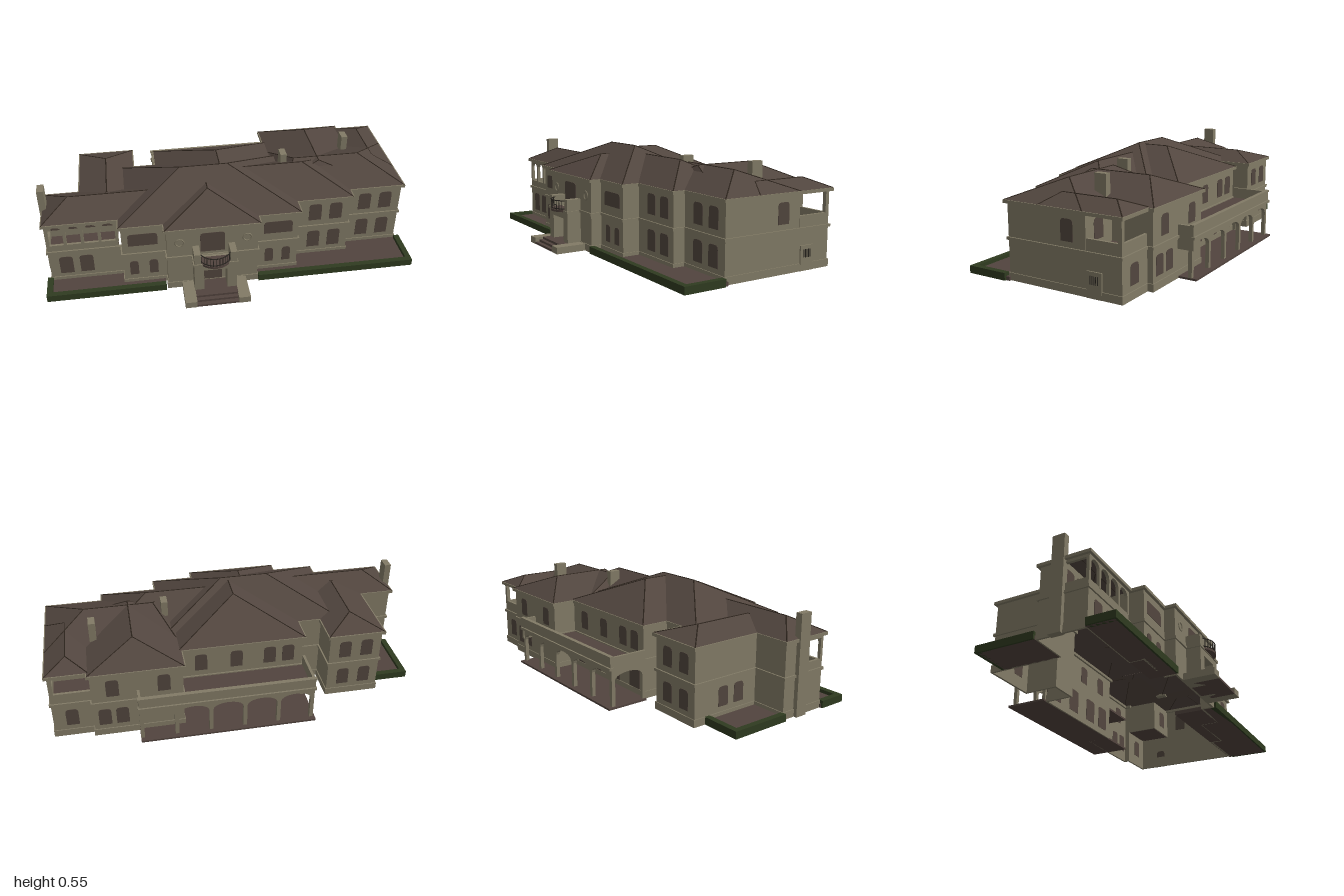
import * as THREE from 'three';

const mat = (name, color, side = THREE.FrontSide) => {
  const m = new THREE.MeshStandardMaterial({ color, side });
  m.name = name;
  return m;
};

export function createModel() {
  const model = new THREE.Group();
  const stone = mat('stone', 0x827b66);
  const tile = mat('roof tile', 0x52463f, THREE.DoubleSide);
  const ridgeMat = mat('ridge tile', 0x30271f);
  const glass = mat('window', 0x52463e);
  const paving = mat('paving', 0x52443e);
  const hedgeMat = mat('hedge', 0x2f3b20);
  const iron = mat('iron', 0x2b2722);

  const add = (name, geo, m) => {
    const mesh = new THREE.Mesh(geo, m);
    mesh.name = name;
    model.add(mesh);
    return mesh;
  };
  // box from its limits
  const box = (name, m, x0, x1, y0, y1, z0, z1) => {
    const g = new THREE.BoxGeometry(x1 - x0, y1 - y0, z1 - z0);
    g.translate((x0 + x1) / 2, (y0 + y1) / 2, (z0 + z1) / 2);
    return add(name, g, m);
  };

  // ground plan at the eaves, split where the upper storey has open loggias
  const frontPlan = [[-0.6, 0.36], [-0.37, 0.36], [-0.37, 0.42], [0.135, 0.42], [0.135, 0.36],
    [0.365, 0.36], [0.365, 0.265], [0.675, 0.265], [0.675, 0.2], [0.985, 0.2]];
  const backPlan = [[0.78, -0.49], [0.29, -0.49], [0.29, -0.36], [-0.37, -0.36], [-0.37, -0.21],
    [-0.49, -0.21], [-0.49, -0.39], [-0.8, -0.39], [-0.8, 0], [-0.99, 0]];
  const plan = (zLeft, zRight) => [[-0.99, zLeft], [-0.6, zLeft], ...frontPlan,
    [0.985, zRight], [0.78, zRight], ...backPlan];
  const full = plan(0.285, -0.46), recessed = plan(0.15, -0.27);

  // move every side of a right-angled plan outwards by d
  const offset = (poly, d) => poly.map((p, i) => {
    const a = poly[(i + poly.length - 1) % poly.length], b = poly[(i + 1) % poly.length];
    const n = (u, v) => [-Math.sign(v[1] - u[1]), Math.sign(v[0] - u[0])];
    const [n1, n2] = [n(a, p), n(p, b)];
    return new THREE.Vector2(p[0] + d * (n1[0] + n2[0]), -(p[1] + d * (n1[1] + n2[1])));
  });
  const ring = (name, poly, outer, inner, y0, y1) => {
    const shape = new THREE.Shape(offset(poly, outer));
    shape.holes.push(new THREE.Path(offset(poly, inner)));
    const g = new THREE.ExtrudeGeometry(shape, { depth: y1 - y0, bevelEnabled: false });
    g.rotateX(-Math.PI / 2).translate(0, y0, 0);
    add(name, g, stone);
  };
  ring('lowerWalls', full, -0.012, -0.018, 0, 0.205);
  ring('upperWalls', recessed, -0.012, -0.018, 0.2, 0.385);
  ring('plinth', full, -0.007, -0.015, 0, 0.038);
  ring('storeyBand', full, -0.004, -0.018, 0.199, 0.213);
  ring('cornice', full, 0.003, -0.03, 0.376, 0.392);

  // hip roofs: eave rectangle, ridge ends and ridge height
  const EAVE = 0.391;
  const hip = (x0, x1, z0, z1, ax, az, bx, bz, h) => {
    const c = [[x0, EAVE, z1], [x1, EAVE, z1], [x1, EAVE, z0], [x0, EAVE, z0]];
    const a = [ax, h, az], b = [bx, h, bz];
    const quad = (p, q, r, s) => [p, q, r, p, r, s];
    // a is the left or back ridge end, b the right or front one
    const tris = az === bz
      ? [...quad(c[0], c[1], b, a), c[1], c[2], b, ...quad(c[2], c[3], a, b), c[3], c[0], a]
      : [c[0], c[1], b, ...quad(c[1], c[2], a, b), c[2], c[3], a, ...quad(c[3], c[0], b, a)];
    const g = new THREE.BufferGeometry();
    g.setAttribute('position', new THREE.Float32BufferAttribute(tris.flat(), 3));
    g.computeVertexNormals();
    add('hipRoof', g, tile);
    // thin ridge and hip tiles
    const ends = az === bz ? [a, b, b, a] : [b, b, a, a];
    [[a, b], ...c.map((p, i) => [p, ends[i]])].forEach(([p, q]) => {
      const path = new THREE.LineCurve3(new THREE.Vector3(...p), new THREE.Vector3(...q));
      add('ridgeTiles', new THREE.TubeGeometry(path, 1, 0.003, 4), ridgeMat);
    });
  };
  hip(-0.99, -0.3, 0, 0.285, -0.85, 0.143, -0.35, 0.143, 0.465);
  hip(-0.8, -0.49, -0.39, 0.2, -0.645, -0.24, -0.645, 0.09, 0.442);
  hip(-0.6, 0.365, -0.21, 0.36, -0.25, 0.07, 0.01, 0.07, 0.545);
  hip(-0.37, 0.135, 0.1, 0.42, -0.118, 0.12, -0.118, 0.215, 0.495);
  hip(-0.37, 0.31, -0.36, 0.1, -0.03, -0.09, -0.03, 0.06, 0.535);
  hip(0.29, 0.78, -0.49, 0.1, 0.535, -0.32, 0.535, 0.02, 0.485);
  hip(-0.1, 0.675, -0.15, 0.265, 0.1, 0.055, 0.43, 0.055, 0.505);
  hip(0.3, 0.985, -0.25, 0.2, 0.4, -0.02, 0.77, -0.02, 0.485);
  hip(0.765, 0.985, -0.46, 0, 0.875, -0.36, 0.875, -0.06, 0.438);

  // chimneys
  box('chimney', stone, -1, -0.965, 0, 0.515, 0.083, 0.15);
  box('chimney', stone, 0.325, 0.36, 0.4, 0.515, -0.08, -0.015);
  box('chimney', stone, 0.715, 0.75, 0.4, 0.515, -0.215, -0.15);

  // windows: round-cornered plates on a wall facing front, back, right or left
  const turn = { front: 0, back: Math.PI, right: Math.PI / 2, left: -Math.PI / 2 };
  const windows = (face, plane, y, w, h, list, round = 0.02) => list.forEach((u) => {
    const s = new THREE.Shape(), a = w / 2, b = h / 2, r = round;
    s.moveTo(-a, -b).lineTo(a, -b).lineTo(a, b - r).quadraticCurveTo(a, b, a - r, b);
    s.lineTo(-a + r, b).quadraticCurveTo(-a, b, -a, b - r);
    const g = new THREE.ExtrudeGeometry(s, { depth: 0.0095, bevelEnabled: false, curveSegments: 4 });
    g.translate(0, 0, -0.0075);
    const m = add(round ? 'window' : 'door', g, glass);
    m.rotation.y = turn[face];
    const side = face === 'left' || face === 'right';
    m.position.set(side ? plane : u, y, side ? u : plane);
  });
  windows('front', 0.273, 0.115, 0.072, 0.11, [-0.89, -0.782]);
  windows('front', 0.138, 0.3, 0.075, 0.1, [-0.925, -0.83, -0.74, -0.65]);
  windows('front', 0.348, 0.298, 0.155, 0.075, [-0.478, 0.243]);
  windows('front', 0.348, 0.113, 0.046, 0.09, [-0.532, -0.428, 0.198, 0.292]);
  windows('front', 0.253, 0.3, 0.07, 0.105, [0.47, 0.585]);
  windows('front', 0.253, 0.117, 0.07, 0.108, [0.47, 0.585]);
  windows('front', 0.188, 0.295, 0.07, 0.105, [0.77, 0.888]);
  windows('front', 0.188, 0.117, 0.07, 0.108, [0.77, 0.888]);
  windows('front', 0.408, 0.29, 0.13, 0.12, [-0.118]);
  windows('front', 0.408, 0.097, 0.1, 0.125, [-0.12], 0);
  windows('back', -0.478, 0.295, 0.065, 0.1, [0.4, 0.66]);
  windows('back', -0.478, 0.115, 0.065, 0.1, [0.62, 0.71]);
  windows('back', -0.448, 0.115, 0.065, 0.1, [0.875]);
  windows('back', -0.258, 0.295, 0.07, 0.1, [0.875]);
  windows('back', -0.348, 0.295, 0.065, 0.1, [-0.28, -0.18, 0.0, 0.19]);
  windows('back', -0.348, 0.1, 0.09, 0.13, [-0.28, -0.1, 0.08, 0.22]);
  windows('back', -0.378, 0.295, 0.065, 0.1, [-0.71, -0.59]);
  windows('back', -0.378, 0.115, 0.065, 0.1, [-0.71, -0.59]);
  windows('left', -0.788, 0.115, 0.06, 0.1, [-0.2, -0.1]);
  windows('right', 0.973, 0.293, 0.068, 0.105, [-0.155]);
  windows('right', 0.973, 0.086, 0.055, 0.04, [-0.305]);

  // side door surround with iron grille
  box('sideDoor', stone, 0.97, 0.98, 0, 0.125, -0.345, -0.265);
  for (let i = 0; i < 5; i++) {
    const z = -0.325 + i * 0.01;
    box('grilleBar', iron, 0.979, 0.983, 0.066, 0.106, z - 0.0015, z + 0.0015);
  }

  // row of arches between posts, running along x or z, open at the bottom
  const arcade = (name, axis, u0, u1, y0, y1, at, n, post, spring, crown, depth = 0.016) => {
    const s = new THREE.Shape();
    s.moveTo(u0, y0).lineTo(u0, y1).lineTo(u1, y1).lineTo(u1, y0);
    const bay = (u1 - u0 - post) / n;
    for (let i = n - 1; i >= 0; i--) {
      const l = u0 + post + i * bay, r = l + bay - post;
      s.lineTo(r, y0).lineTo(r, spring);
      s.bezierCurveTo(r, crown, l, crown, l, spring).lineTo(l, y0);
    }
    const g = new THREE.ExtrudeGeometry(s, { depth, bevelEnabled: false, curveSegments: 10 });
    g.translate(0, 0, -depth / 2);
    if (axis === 'z') g.rotateY(-Math.PI / 2).translate(at, 0, 0);
    else g.translate(0, 0, at);
    add(name, g, stone);
  };

  // left loggia
  box('loggiaFloor', paving, -0.975, -0.605, 0.2, 0.21, 0.14, 0.27);
  box('loggiaParapet', stone, -0.978, -0.605, 0.205, 0.25, 0.259, 0.273);
  box('loggiaParapet', stone, -0.978, -0.964, 0.205, 0.255, 0.14, 0.273);
  arcade('loggiaArches', 'x', -0.978, -0.602, 0.245, 0.38, 0.266, 4, 0.016, 0.335, 0.378);
  box('loggiaLintel', stone, -0.978, -0.964, 0.362, 0.38, 0.14, 0.273);

  // right loggia
  box('loggiaFloor', paving, 0.77, 0.97, 0.2, 0.21, -0.445, -0.26);
  box('loggiaParapet', stone, 0.959, 0.973, 0.205, 0.27, -0.448, -0.26);
  box('loggiaParapet', stone, 0.768, 0.973, 0.205, 0.27, -0.448, -0.434);
  box('loggiaPost', stone, 0.953, 0.973, 0.2, 0.38, -0.448, -0.428);

  // back veranda with balcony above
  box('verandaFloor', paving, -0.385, 0.54, 0, 0.01, -0.58, -0.35);
  box('balconyFloor', paving, -0.37, 0.535, 0.195, 0.207, -0.56, -0.35);
  arcade('verandaArches', 'x', -0.375, 0.54, 0.008, 0.2, -0.545, 5, 0.02, 0.14, 0.193, 0.02);
  arcade('verandaEndArch', 'z', -0.555, -0.35, 0.008, 0.2, -0.366, 1, 0.018, 0.14, 0.19);
  box('balconyParapet', stone, -0.375, 0.54, 0.2, 0.265, -0.562, -0.548);
  box('balconyParapet', stone, -0.375, -0.361, 0.2, 0.265, -0.562, -0.35);
  box('balconyParapet', stone, 0.526, 0.54, 0.145, 0.265, -0.562, -0.478);
  box('balconyBand', stone, -0.38, 0.545, 0.2, 0.214, -0.571, -0.545);
  box('balconyCoping', stone, -0.38, 0.545, 0.262, 0.272, -0.567, -0.545);

  // entrance porch: plinths, steps, pillars and lintel
  const PX = -0.113;
  for (const s of [-1, 1]) {
    const span = (a, b) => (s > 0 ? [PX + a, PX + b] : [PX - b, PX - a]);
    box('porchPlinth', stone, ...span(0.11, 0.172), 0, 0.036, 0.41, 0.58);
    box('porchPillar', stone, ...span(0.062, 0.112), 0, 0.2, 0.405, 0.487);
    box('balconyPier', stone, ...span(0.078, 0.112), 0.2, 0.272, 0.405, 0.487);
    const disc = new THREE.TorusGeometry(0.022, 0.004, 6, 20);
    add('medallion', disc.translate(PX + s * 0.178, 0.3, 0.409), stone);
  }
  for (let i = 0; i < 3; i++) {
    box('step', paving, PX - 0.112, PX + 0.112, 0, 0.012 * (i + 1), 0.41, 0.578 - i * 0.022);
  }
  box('porchLintel', stone, PX - 0.112, PX + 0.112, 0.165, 0.2, 0.405, 0.487);
  box('porchCornice', stone, PX - 0.118, PX + 0.118, 0.198, 0.21, 0.405, 0.492);

  // rounded front balcony with iron railing
  const R = 0.09, CZ = 0.433;
  const bow = new THREE.CylinderGeometry(R, R, 0.012, 24, 1, false, -Math.PI / 2, Math.PI);
  add('bowFloor', bow.translate(PX, 0.206, CZ), paving);
  for (const y of [0.218, 0.262]) {
    const rail = new THREE.TorusGeometry(R - 0.003, 0.003, 5, 24, Math.PI);
    add('railing', rail.rotateX(Math.PI / 2).translate(PX, y, CZ), iron);
  }
  for (let i = 1; i < 16; i++) {
    const a = (i * Math.PI) / 16;
    const x = PX + Math.cos(a) * (R - 0.003), z = CZ + Math.sin(a) * (R - 0.003);
    box('baluster', iron, x - 0.0015, x + 0.0015, 0.21, 0.262, z - 0.0015, z + 0.0015);
  }

  // terraces edged with hedges
  const H = 0.038, T = 0.03;
  box('frontTerrace', paving, -0.99, -0.37, 0, 0.02, 0.27, 0.415);
  box('frontTerrace', paving, 0.13, 0.99, 0, 0.02, 0.18, 0.415);
  box('sideTerrace', paving, -0.99, -0.785, 0, 0.02, -0.3, 0.01);
  box('hedge', hedgeMat, -1, -0.37, 0, H, 0.425 - T, 0.425);
  box('hedge', hedgeMat, 0.13, 1, 0, H, 0.425 - T, 0.425);
  box('hedge', hedgeMat, -1, -1 + T, 0, H, 0.275, 0.425);
  box('hedge', hedgeMat, 1 - T, 1, 0, H, 0.2, 0.425);
  box('hedge', hedgeMat, -1, -1 + T, 0, H, -0.315, 0.01);
  box('hedge', hedgeMat, -1, -0.79, 0, H, -0.315, -0.315 + T);

  return model;
}
